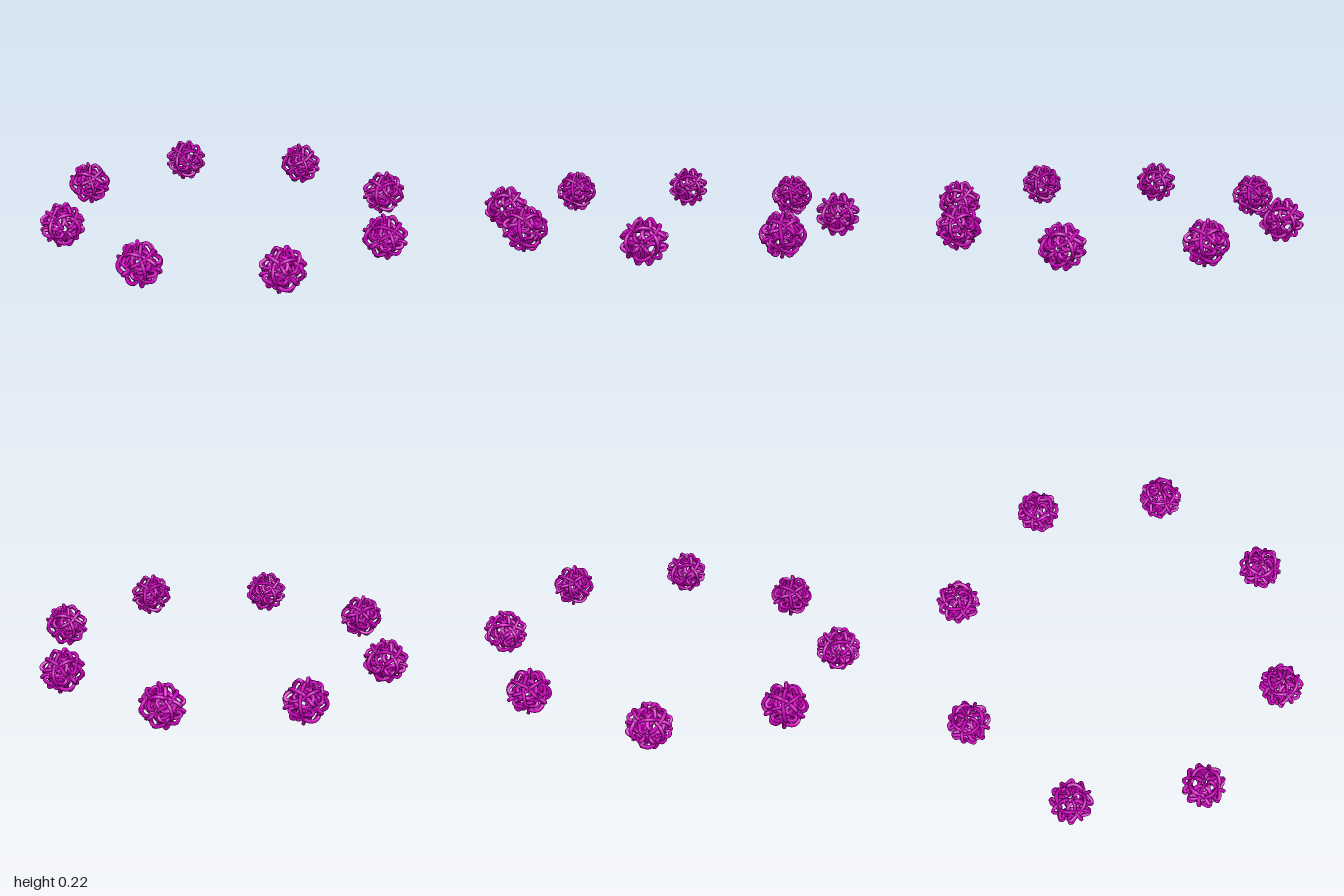
import * as THREE from 'three';
import { mergeGeometries } from 'three/addons/utils/BufferGeometryUtils.js';

const RING = 0.89, HEIGHT = 0.111, TUBE = 0.0095, SIDES = 6;

// Point from angle off the +y axis, turn about it (degrees) and distance
function polar(theta, phi, r) {
  const t = THREE.MathUtils.degToRad(theta), p = THREE.MathUtils.degToRad(phi);
  return new THREE.Vector3(Math.sin(t) * Math.cos(p), Math.cos(t), Math.sin(t) * Math.sin(p)).multiplyScalar(r);
}

function strand(points, segments) {
  const curve = new THREE.CatmullRomCurve3(points);
  return new THREE.TubeGeometry(curve, segments, TUBE, SIDES, false);
}

// Strand following one cube edge: lobe by the pole, dip at the corner, raised ear mid-edge
function edgeStrand() {
  const half = [
    [22, 0, 0.062], [16, 0, 0.08], [13, 0, 0.1], [21, 0, 0.109],
    [36, 7, 0.095], [55, 9, 0.084], [74, 3, 0.1],
  ];
  const upper = half.map(([t, p, r]) => polar(t, 45 + p, r));
  const lower = half.map(([t, p, r]) => polar(180 - t, 45 - p, r)).reverse();
  return strand([...upper, polar(90, 45, 0.106), ...lower], 48);
}

// Under-strand that crosses beneath an ear
function crossStrand() {
  return strand([[24, 0.064], [35, 0.074], [45, 0.077]].map(([t, r]) => polar(90, t, r))
    .concat([[55, 0.074], [66, 0.064]].map(([t, r]) => polar(90, t, r))), 8);
}

// Ring of given radius facing outward along a direction
function ringAt(direction, distance, radius, segments) {
  const ring = new THREE.TorusGeometry(radius, TUBE, SIDES, segments);
  const d = direction.clone().normalize();
  ring.applyQuaternion(new THREE.Quaternion().setFromUnitVectors(new THREE.Vector3(0, 0, 1), d));
  return ring.translate(d.x * distance, d.y * distance, d.z * distance);
}

function wovenBallGeometry() {
  const parts = [];
  const diagonal = new THREE.Vector3(1, 1, 1).normalize();
  // Twelve edges: four turns about y, three turns about the cube diagonal
  for (let k = 0; k < 3; k++) {
    const swap = new THREE.Matrix4().makeRotationAxis(diagonal, k * Math.PI * 2 / 3);
    for (let i = 0; i < 4; i++) {
      const turn = new THREE.Matrix4().makeRotationY(i * Math.PI / 2).premultiply(swap);
      parts.push(edgeStrand().applyMatrix4(turn), crossStrand().applyMatrix4(turn));
    }
  }
  // Eight corner rings
  for (const x of [-1, 1]) for (const y of [-1, 1]) for (const z of [-1, 1]) {
    parts.push(ringAt(new THREE.Vector3(x, y, z), 0.06, 0.046, 24));
  }
  // Six small rings around the see-through holes
  for (let a = 0; a < 3; a++) for (const s of [-1, 1]) {
    parts.push(ringAt(new THREE.Vector3().setComponent(a, s), 0.058, 0.024, 16));
  }
  return mergeGeometries(parts);
}

export function createModel() {
  const model = new THREE.Group();
  model.name = 'ringOfWovenBalls';
  const geometry = wovenBallGeometry();
  const material = new THREE.MeshStandardMaterial({ color: 0xcc00bb });
  // Eight balls, each turned with its place on the circle
  for (let i = 0; i < 8; i++) {
    const angle = i * Math.PI / 4;
    const ball = new THREE.Mesh(geometry, material);
    ball.name = 'wovenBall' + (i + 1);
    ball.position.set(RING * Math.cos(angle), HEIGHT, -RING * Math.sin(angle));
    ball.rotation.y = angle;
    model.add(ball);
  }
  return model;
}
